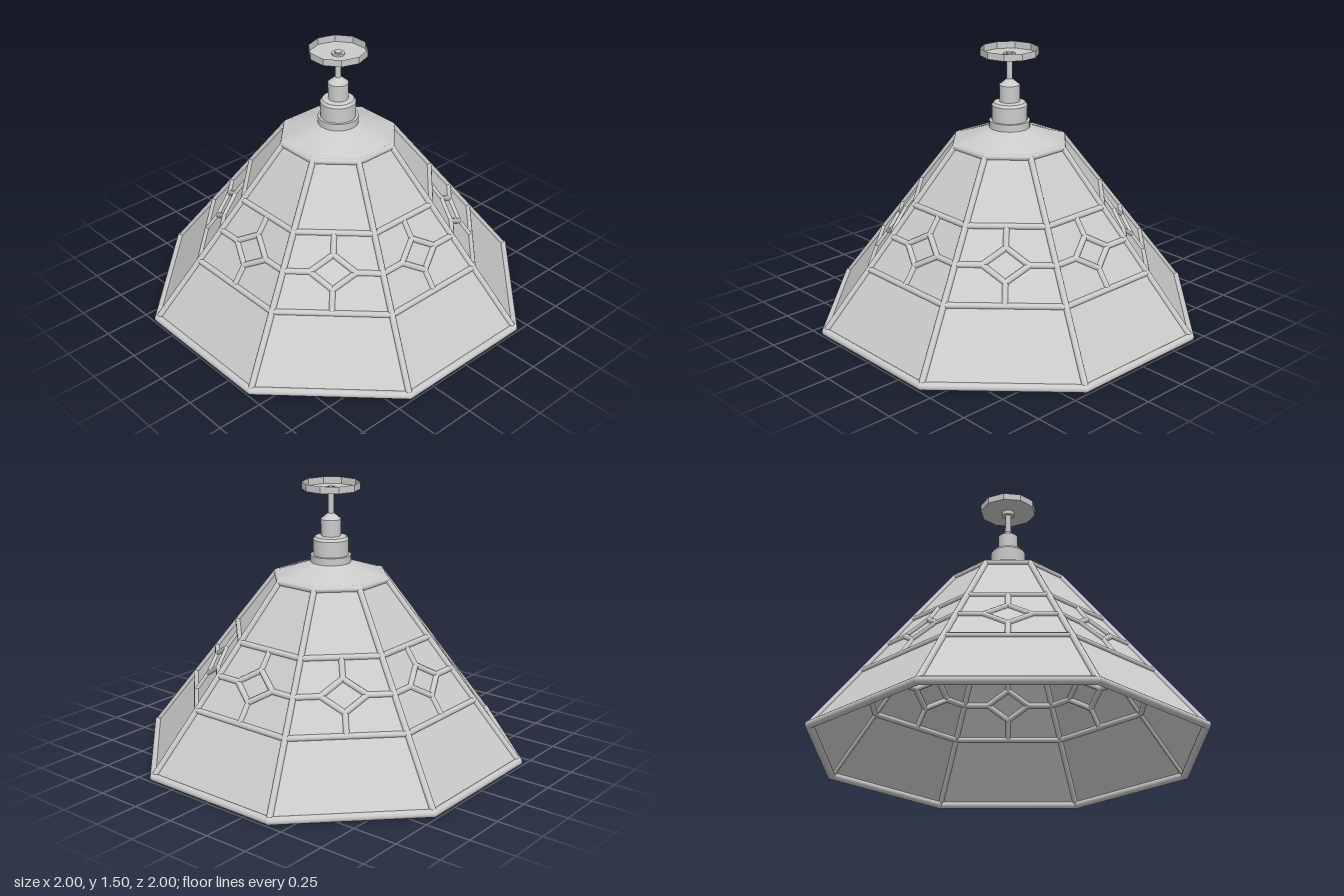
import * as THREE from 'three';

const SIDES = 8;
const TAN = Math.tan(Math.PI / SIDES);
const COS = Math.cos(Math.PI / SIDES);
const BOTTOM = { y: 0.022, a: 0.98 };
const TOP = { y: 0.985, a: 0.287 };

const metal = new THREE.MeshStandardMaterial({ color: 0xcccccc });
const thin = new THREE.MeshStandardMaterial({ color: 0xcccccc, side: THREE.DoubleSide });
const glass = new THREE.MeshStandardMaterial({ color: 0xcccccc, side: THREE.DoubleSide, flatShading: true });

// Distance of a glass panel from the axis at height y
const apothem = (y) => BOTTOM.a + ((TOP.a - BOTTOM.a) * (y - BOTTOM.y)) / (TOP.y - BOTTOM.y);
// Point on the front panel
const onPanel = (x, y) => new THREE.Vector3(x, y, apothem(y));
const corner = (y, side = 1) => onPanel(side * apothem(y) * TAN, y);

function add(parent, name, geometry, material = metal) {
  const mesh = new THREE.Mesh(geometry, material);
  mesh.name = name;
  parent.add(mesh);
  return mesh;
}

// Round lead strip between two points
function strip(parent, name, a, b, r) {
  const dir = b.clone().sub(a);
  const mesh = add(parent, name, new THREE.CylinderGeometry(r, r, dir.length(), 10, 1, true), thin);
  mesh.position.copy(a).add(b).multiplyScalar(0.5);
  mesh.quaternion.setFromUnitVectors(new THREE.Vector3(0, 1, 0), dir.normalize());
}

function joint(parent, p, r) {
  add(parent, 'solderJoint', new THREE.SphereGeometry(r, 10, 8)).position.copy(p);
}

// Lead work of one panel, with the rib at its left corner
function leadPanel() {
  const g = new THREE.Group();
  g.name = 'leadPanel';
  const r = 0.016;
  const rib = 0.017;
  const rim = 0.021;

  strip(g, 'bottomRim', corner(BOTTOM.y, -1), corner(BOTTOM.y), rim);
  strip(g, 'topRim', corner(TOP.y, -1), corner(TOP.y), rib);
  strip(g, 'cornerRib', corner(BOTTOM.y), corner(TOP.y), rib);
  joint(g, corner(BOTTOM.y), rim);
  joint(g, corner(TOP.y), rib);

  // Band lines
  const low = 0.35, high = 0.685, mid = 0.52;
  for (const y of [low, high]) strip(g, 'bandLine', corner(y, -1), corner(y), r);

  // Diamond, tied to the band lines and the ribs
  const diamond = [onPanel(0.12, mid), onPanel(0, mid + 0.073), onPanel(-0.12, mid), onPanel(0, mid - 0.073)];
  const ties = [corner(mid), onPanel(0, high), corner(mid, -1), onPanel(0, low)];
  diamond.forEach((p, i) => {
    strip(g, 'diamondEdge', p, diamond[(i + 1) % 4], r);
    strip(g, 'diamondTie', p, ties[i], r);
    joint(g, p, r);
  });
  return g;
}

// Lathe with hard edges: each straight run is its own pair of points
function turned(parent, name, profile, segments, material = metal) {
  const g = new THREE.Group();
  g.name = name;
  for (let i = 0; i < profile.length - 1; i++) {
    const run = [profile[i], profile[i + 1]].map(([x, y]) => new THREE.Vector2(x, y));
    add(g, name + 'Surface', new THREE.LatheGeometry(run, segments), material);
  }
  parent.add(g);
}

export function createModel() {
  const model = new THREE.Group();
  model.name = 'pendantLamp';

  // Glass shade
  const shade = add(model, 'glassShade', new THREE.CylinderGeometry(
    TOP.a / COS, BOTTOM.a / COS, TOP.y - BOTTOM.y, SIDES, 1, true, Math.PI / SIDES), glass);
  shade.position.y = (TOP.y + BOTTOM.y) / 2;

  // Lead work around the shade
  for (let i = 0; i < SIDES; i++) {
    const panel = leadPanel();
    panel.rotation.y = (i * 2 * Math.PI) / SIDES;
    model.add(panel);
  }

  // Cap: octagon below blending to a circle above
  const capGeometry = new THREE.CylinderGeometry(0.105, 0.3, 0.073, 32, 4, true);
  const pos = capGeometry.attributes.position;
  const step = (2 * Math.PI) / SIDES;
  for (let i = 0; i < pos.count; i++) {
    const x = pos.getX(i), z = pos.getZ(i);
    const t = Math.atan2(x, z);
    const octagon = 1 / Math.cos(t - Math.round(t / step) * step);
    const blend = 0.5 - pos.getY(i) / 0.073;
    const k = 1 + (octagon - 1) * blend;
    pos.setX(i, x * k);
    pos.setZ(i, z * k);
  }
  capGeometry.computeVertexNormals();
  add(model, 'cap', capGeometry, thin).position.y = 0.995 + 0.073 / 2;

  // Stepped socket and hanging rod
  turned(model, 'socket', [
    [0, 1.065], [0.11, 1.065], [0.11, 1.105], [0.096, 1.105], [0.096, 1.19], [0.085, 1.205],
    [0.055, 1.21], [0.055, 1.3], [0.022, 1.328], [0.016, 1.332],
  ], 32, thin);
  turned(model, 'rod', [[0.016, 1.33], [0.016, 1.475], [0, 1.475]], 16, thin);
  turned(model, 'collar', [[0, 1.44], [0.035, 1.44], [0.035, 1.472], [0.02, 1.472]], 20, thin);

  // Ceiling plate: a shallow dish open at the top
  turned(model, 'ceilingPlate', [[0.016, 1.462], [0.157, 1.462], [0.157, 1.5]], 10, glass);

  return model;
}
